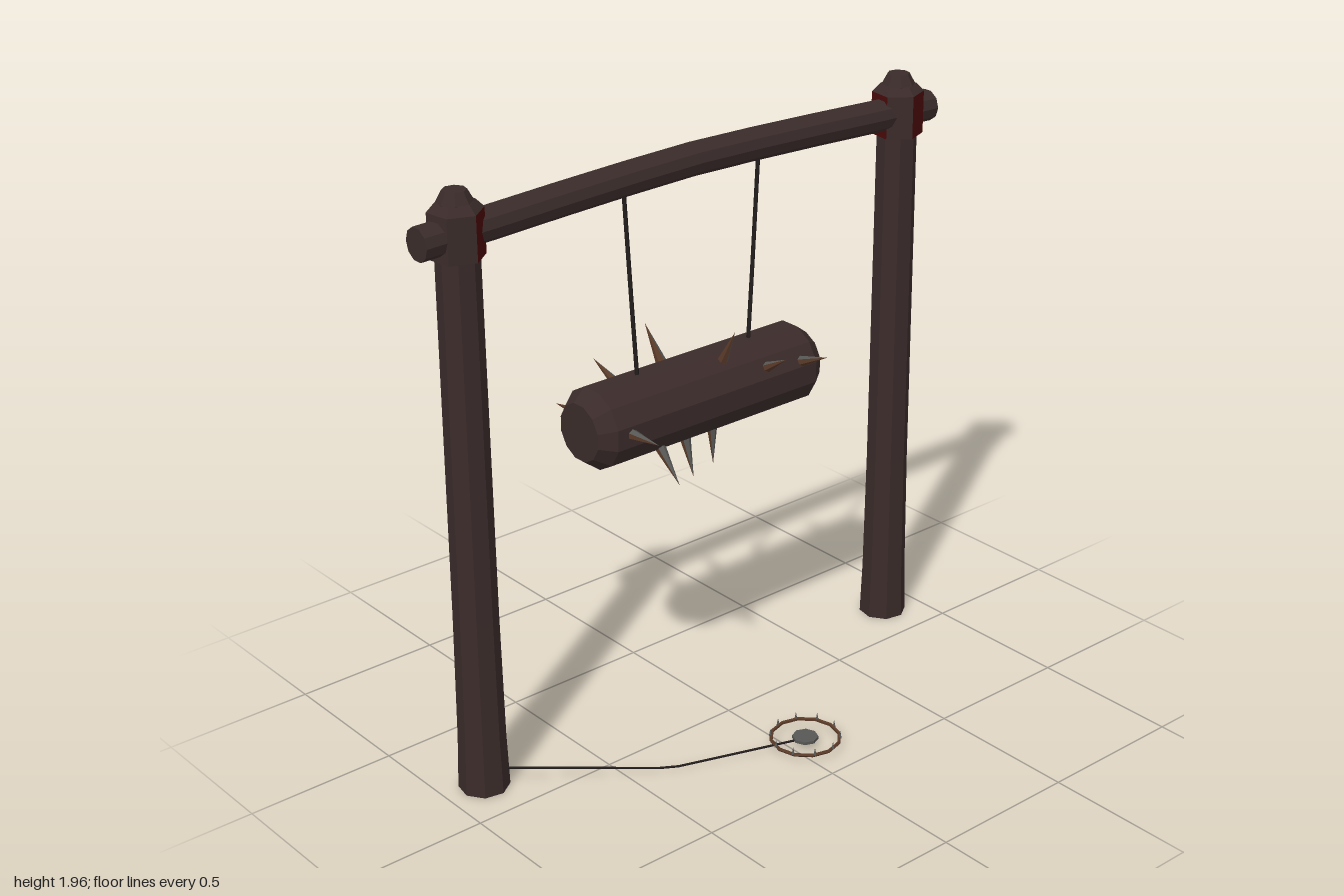
import * as THREE from 'three';

const Z = -0.167; // plane of the frame
const mat = (name, color, opts = {}) => {
  const m = new THREE.MeshStandardMaterial({ color, flatShading: true, ...opts });
  m.name = name;
  return m;
};

export function createModel() {
  const root = new THREE.Group();
  root.name = 'swingingLogTrap';
  const wood = mat('dark wood', 0x3a2b2a);
  const red = mat('dark red', 0x4a0808);
  const steel = mat('worn steel', 0x565654);
  const rust = mat('rust', 0x593a28);
  const rope = mat('dark rope', 0x221d1c);

  const add = (parent, name, geo, material, x = 0, y = 0, z = 0) => {
    const m = new THREE.Mesh(geo, material);
    m.name = name;
    m.position.set(x, y, z);
    parent.add(m);
    return m;
  };
  const lathe = (pts, sides, start = 0) =>
    new THREE.LatheGeometry(pts.map(p => new THREE.Vector2(...p)), sides, start);

  // Straight-segmented cable through the given points
  const cable = (name, pts, r, material) => {
    const path = new THREE.CurvePath();
    const v = pts.map(p => new THREE.Vector3(...p));
    for (let i = 1; i < v.length; i++) path.add(new THREE.LineCurve3(v[i - 1], v[i]));
    add(root, name, new THREE.TubeGeometry(path, 16, r, 5), material);
  };

  // Posts with flared feet, chamfered tops and six-sided collars
  const collarStart = { '-1': 8, '1': -8 };
  const redFaces = { '-1': [0, 3], '1': [0, 4] };
  for (const s of [-1, 1]) {
    const side = s > 0 ? 'left' : 'right';
    const post = new THREE.Group();
    post.name = side + 'Post';
    post.position.set(s * 0.865, 0, Z);
    root.add(post);
    add(post, 'postShaft', lathe([[0, 0], [0.081, 0], [0.075, 0.18], [0.07, 0.6],
      [0.066, 1.76], [0.055, 1.925], [0.036, 1.96], [0, 1.96]], 8, 0.2), wood);
    const a0 = THREE.MathUtils.degToRad(collarStart[s]);
    add(post, 'collarRim', lathe([[0, 1.76], [0.084, 1.76]], 6, a0), wood);
    add(post, 'collarTop', lathe([[0.084, 1.9], [0.06, 1.925], [0, 1.925]], 6, a0), wood);
    for (let i = 0; i < 6; i++) {
      const face = new THREE.CylinderGeometry(0.084, 0.084, 0.14, 1, 1, true, a0 + i * Math.PI / 3, Math.PI / 3);
      add(post, 'collarFace', face, redFaces[s].includes(i) ? red : wood, 0, 1.83, 0);
    }
  }

  // Crossbeam, slightly bowed upward in the middle
  const beamGeo = new THREE.CylinderGeometry(0.052, 0.052, 2, 10, 8);
  beamGeo.rotateZ(Math.PI / 2);
  const p = beamGeo.attributes.position;
  for (let i = 0; i < p.count; i++) {
    const t = Math.min(1, Math.abs(p.getX(i)) / 0.9);
    p.setY(i, p.getY(i) + 0.032 * (1 - Math.pow(t, 1.4)));
  }
  add(root, 'crossbeam', beamGeo, wood, 0, 1.827, Z);

  // Hanging ropes
  for (const s of [-1, 1]) {
    cable('hangingRope', [[s * 0.267, 1.84, Z], [s * 0.243, 1.45, Z], [s * 0.225, 1.18, Z]], 0.007, rope);
  }

  // Swinging log with chamfered ends
  const logY = 1.087;
  const logGeo = lathe([[0, -0.455], [0.095, -0.455], [0.133, -0.405],
    [0.133, 0.405], [0.095, 0.455], [0, 0.455]], 12, Math.PI / 12);
  logGeo.rotateZ(-Math.PI / 2);
  add(root, 'log', logGeo, wood, 0, logY, Z);

  // Log spikes: x, then tip offset in y and z from the log axis
  const spikes = [
    [-0.35, 0.015, 0.255], [-0.35, -0.02, -0.258],
    [-0.21, -0.19, 0.18], [-0.21, 0.1, -0.243],
    [-0.07, 0.21, -0.155], [-0.07, -0.243, 0.08],
    [0.07, 0.225, 0.117], [0.07, -0.265, 0.01],
    [0.21, 0.12, 0.2], [0.21, -0.16, -0.21],
    [0.35, 0.1, 0.237], [0.35, -0.04, -0.258],
  ];
  for (const [x, y, z] of spikes) {
    const len = Math.hypot(y, z) - 0.11;
    const dir = new THREE.Vector3(0, y, z).normalize();
    const spike = new THREE.Group();
    spike.name = 'spike';
    spike.position.set(x, logY, Z).addScaledVector(dir, 0.11 + len / 2);
    spike.quaternion.setFromUnitVectors(new THREE.Vector3(0, 1, 0), dir);
    root.add(spike);
    // Steel on four sides, rust on two
    const part = (a, n) => new THREE.ConeGeometry(0.02, len, n, 1, true, a * Math.PI / 3, n * Math.PI / 3);
    add(spike, 'spikeSteel', part(0, 4), steel);
    add(spike, 'spikeRust', part(4, 2), rust);
  }

  // Ground trigger: toothed ring with a pressure plate
  const trigger = new THREE.Group();
  trigger.name = 'trigger';
  trigger.position.set(0.05, 0.028, 0.318);
  root.add(trigger);
  const ring = new THREE.TorusGeometry(0.112, 0.006, 5, 12);
  ring.rotateX(Math.PI / 2);
  add(trigger, 'triggerRing', ring, rust);
  for (let i = 0; i < 10; i++) {
    const a = i * Math.PI / 5 + 0.15;
    add(trigger, 'ringTooth', new THREE.ConeGeometry(0.006, 0.026, 4), steel,
      Math.cos(a) * 0.112, 0.014, Math.sin(a) * 0.112);
  }
  add(trigger, 'pressurePlate', new THREE.CylinderGeometry(0.042, 0.042, 0.01, 8), steel);

  // Trip wire from the post foot to the plate
  cable('tripWire', [[-0.82, 0.06, -0.13], [-0.38, 0.015, 0.16], [0.05, 0.024, 0.318]], 0.004, rope);

  return root;
}
